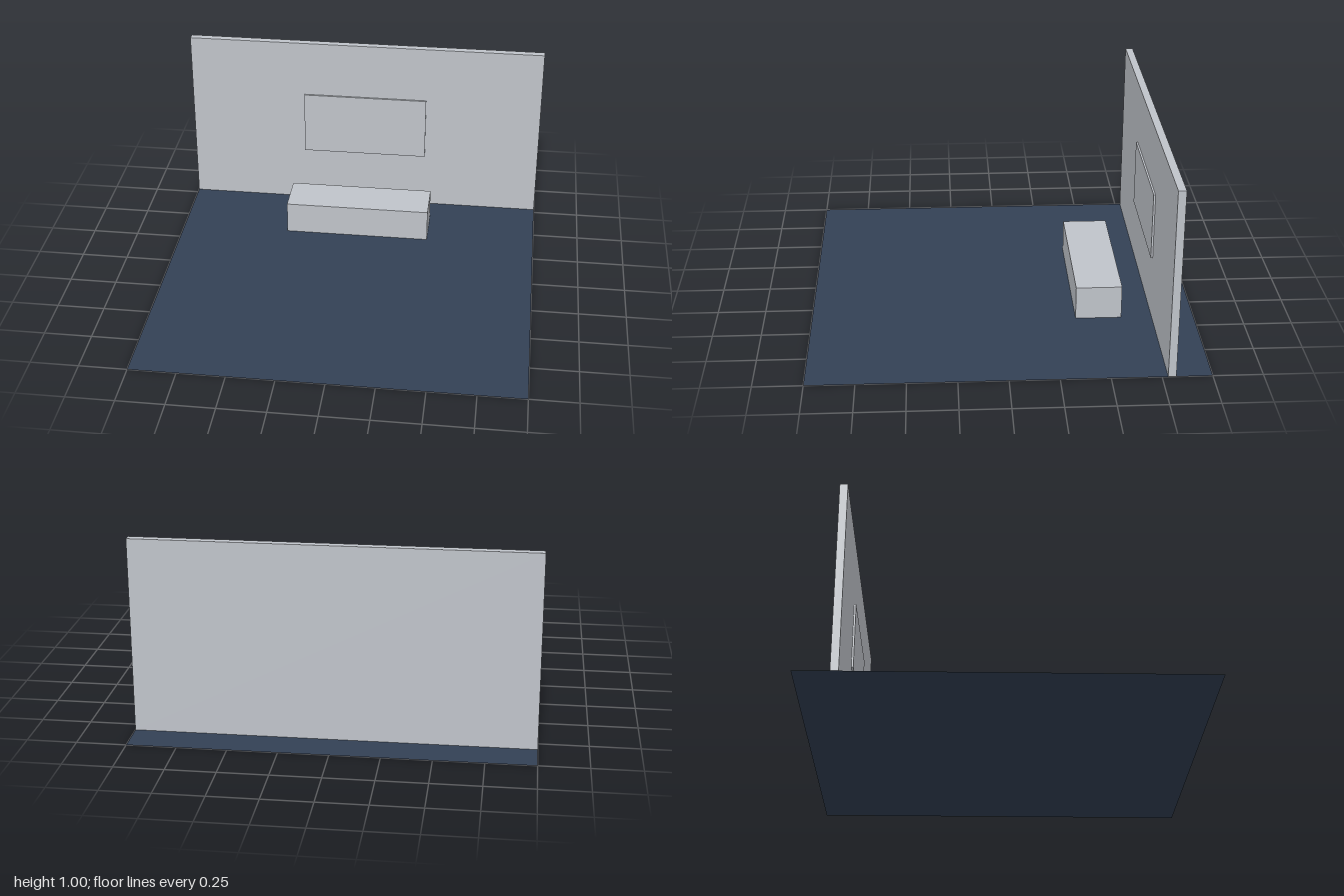
import * as THREE from 'three';

export function createModel() {
  const group = new THREE.Group();
  const paleGrey = new THREE.MeshStandardMaterial({ color: 0xc0c4ca });
  paleGrey.name = 'paleGrey';
  const slateBlue = new THREE.MeshStandardMaterial({ color: 0x334155, side: THREE.DoubleSide });
  slateBlue.name = 'slateBlue';

  // Box placed by its base centre
  const addBox = (name, w, h, d, y, z) => {
    const mesh = new THREE.Mesh(new THREE.BoxGeometry(w, h, d), paleGrey);
    mesh.name = name;
    mesh.position.set(0, y + h / 2, z);
    group.add(mesh);
  };

  // Thin floor sheet, visible from both sides
  const floor = new THREE.Mesh(new THREE.PlaneGeometry(2, 2), slateBlue);
  floor.name = 'floor';
  floor.rotation.x = -Math.PI / 2;
  group.add(floor);

  // Boxes rest just above the floor to keep the faces apart
  const lift = 0.001;
  addBox('backWall', 2, 1 - lift, 0.04, lift, -0.8);
  addBox('cabinet', 0.8, 0.18 - lift, 0.24, lift, -0.5);

  // Flat screen, partly sunk into the wall
  addBox('screen', 0.7, 0.36, 0.02, 0.32, -0.78);

  return group;
}
